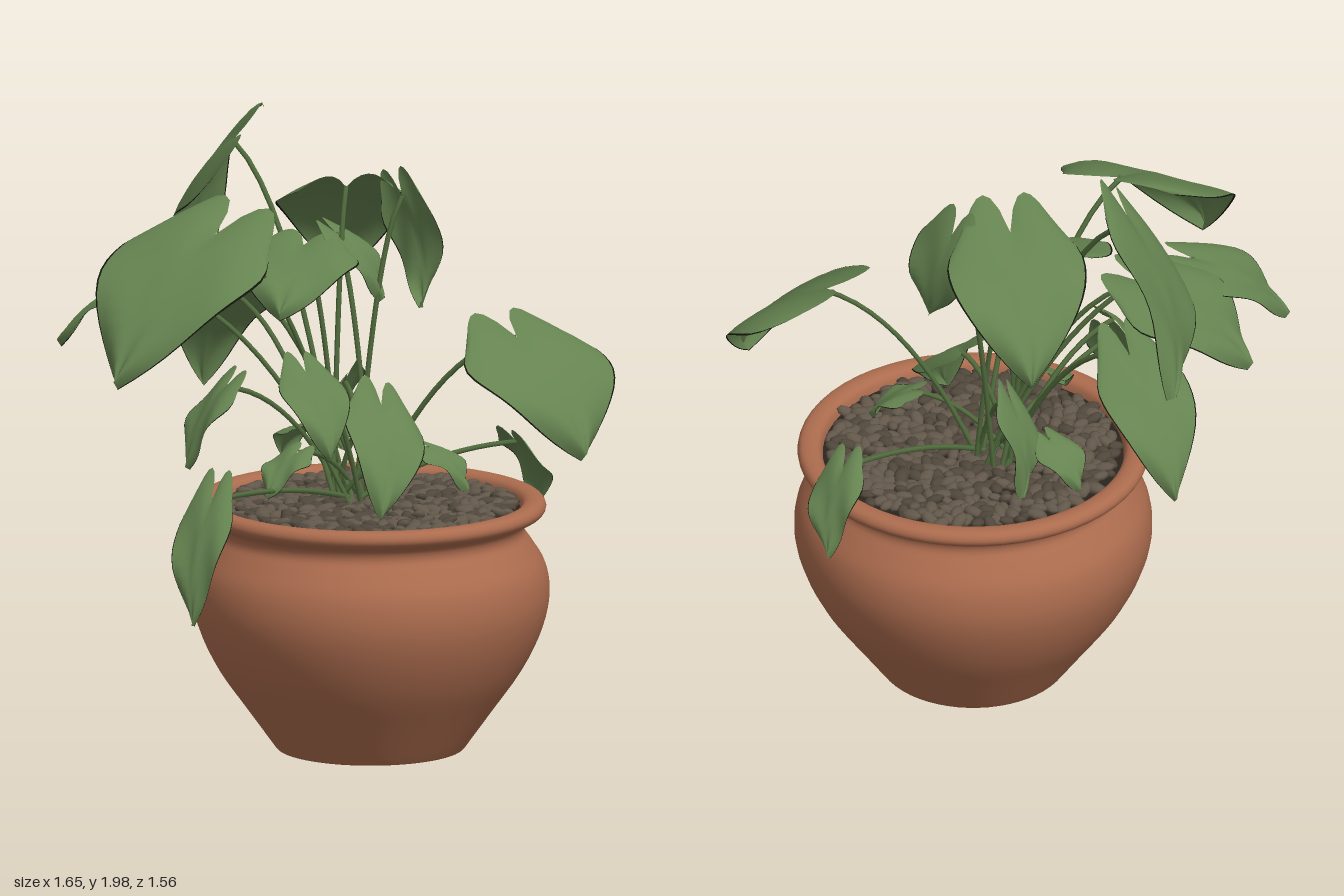
import * as THREE from 'three';
import { mergeGeometries } from 'three/addons/utils/BufferGeometryUtils.js';

const mat = (name, color, side = THREE.FrontSide) => {
  const m = new THREE.MeshStandardMaterial({ color, side });
  m.name = name;
  return m;
};

// Small seeded random generator
function makeRandom(seed) {
  return () => {
    seed = (seed * 16807) % 2147483647;
    return seed / 2147483647;
  };
}

// Heart-shaped leaf: notch at base, pointed tip, arched along its length, folded along the midrib
function leafGeometry(base, tip, width, roll) {
  const dir = tip.clone().sub(base);
  const len = dir.length();
  dir.normalize();
  const side = new THREE.Vector3(-dir.z, 0, dir.x).normalize().applyAxisAngle(dir, roll);
  const up = new THREE.Vector3().crossVectors(side, dir);
  const rows = 14, cols = 16;
  const g = new THREE.PlaneGeometry(1, 1, cols, rows);
  const pos = g.attributes.position;
  for (let i = 0; i < pos.count; i++) {
    const flat = pos.getX(i) * 2, t = pos.getY(i) + 0.5;
    // The outermost columns become the narrow margin
    const s = Math.abs(flat) > 0.99 ? flat : flat * 1.115;
    const a = Math.abs(s);
    const half = (width / 2) * (t < 0.25
      ? 0.72 + 0.28 * Math.sin(t * 2 * Math.PI)
      : Math.pow(Math.max(0, Math.cos(((t - 0.25) / 0.75) * Math.PI / 2)), 0.95));
    const lobe = 0.27 * (1 - t) ** 2 * Math.sin(Math.PI * a ** 0.8);
    const lift = len * (0.48 * t * (1 - t) - 0.3 * lobe)
      + width * (0.09 * a - 0.13 * a * a) + 0.012 * Math.sin(t * 9 + s * 3) * a;
    const p = base.clone().addScaledVector(dir, (t - lobe) * len)
      .addScaledVector(side, s * half).addScaledVector(up, lift);
    pos.setXYZ(i, p.x, p.y, p.z);
  }
  for (let r = 0; r < rows; r++) {
    const start = r * cols * 6;
    g.addGroup(start, 6, 1);
    g.addGroup(start + 6, (cols - 2) * 6, 0);
    g.addGroup(start + (cols - 1) * 6, 6, 1);
  }
  g.computeVertexNormals();
  return g;
}

// Main leaves: base x y z, tip x y z, width, optional roll about the midrib
const LEAVES = [
  [-0.2, 1.85, -0.33, -0.16, 1.47, -0.77, 0.44, -0.92],
  [-0.39, 1.67, 0.21, -0.78, 1.26, 0.47, 0.56, -0.12],
  [0.53, 1.34, 0.44, 0.68, 1.01, 0.73, 0.55],
  [0.1, 1.74, -0.06, 0.18, 1.4, -0.43, 0.44],
  [-0.31, 1.51, -0.15, -0.58, 1.28, -0.4, 0.45],
  [-0.54, 1.47, -0.03, -0.81, 1.27, -0.15, 0.3],
  [-0.06, 1.58, 0.03, -0.2, 1.41, 0.28, 0.4],
  [0.06, 1.6, -0.03, 0.19, 1.4, 0.06, 0.24],
  [-0.2, 1.36, -0.32, -0.22, 1.01, -0.65, 0.3],
  [0.26, 1.72, 0.03, 0.3, 1.38, 0.12, 0.22, -1.74],
  [-0.15, 1.26, 0.42, -0.12, 1.02, 0.63, 0.22],
  [0.13, 1.11, 0.28, 0.06, 0.81, 0.57, 0.27, -0.4],
  [-0.48, 0.88, 0.52, -0.56, 0.5, 0.6, 0.19],
  [0.62, 0.92, 0.06, 0.72, 0.68, -0.06, 0.19, 0.4],
  [-0.35, 1.17, 0.18, -0.48, 0.92, 0.2, 0.2],
  [0.1, 1.11, -0.07, 0.13, 0.86, -0.23, 0.24, -0.94],
];

export function createModel() {
  const model = new THREE.Group();
  model.name = 'pottedPlant';
  const terracotta = mat('terracotta', 0xac6c4e);
  const leafGreen = mat('leafGreen', 0x658350, THREE.DoubleSide);
  const leafMargin = mat('leafMargin', 0x11140c, THREE.DoubleSide);
  const stemGreen = mat('stemGreen', 0x506a3c);
  const soilBrown = mat('soilBrown', 0x2a241d);
  const stones = [mat('stoneBrown', 0x62574a), mat('stoneDark', 0x50473b)];
  const rand = makeRandom(4217);
  const add = (parent, name, geo, m) => {
    const mesh = new THREE.Mesh(geo, m);
    mesh.name = name;
    parent.add(mesh);
    return mesh;
  };

  // Pot, with a flared rolled rim
  const pot = new THREE.Group();
  pot.name = 'pot';
  pot.position.set(0.11, 0, 0.22);
  model.add(pot);
  const curve = new THREE.SplineCurve([
    [0.3, 0.005], [0.39, 0.13], [0.475, 0.25], [0.535, 0.37], [0.563, 0.48], [0.553, 0.58],
    [0.51, 0.655], [0.485, 0.695], [0.495, 0.73], [0.54, 0.752], [0.553, 0.775],
    [0.54, 0.797], [0.505, 0.8], [0.48, 0.785], [0.47, 0.74],
  ].map((p) => new THREE.Vector2(...p)));
  const profile = [new THREE.Vector2(0, 0), new THREE.Vector2(0.295, 0), ...curve.getPoints(48)];
  add(pot, 'potBody', new THREE.LatheGeometry(profile, 56), terracotta);

  // Soil disc under the stones
  const soil = add(pot, 'soil', new THREE.CircleGeometry(0.48, 40), soilBrown);
  soil.rotation.x = -Math.PI / 2;
  soil.position.y = 0.762;

  // Stones spread in a spiral over the soil
  const batches = [[], []];
  const count = 470;
  for (let i = 0; i < count; i++) {
    const r = 0.455 * Math.sqrt((i + 0.5) / count), a = i * 2.39996;
    const size = 0.8 + rand() * 0.4;
    const matrix = new THREE.Matrix4().compose(
      new THREE.Vector3(r * Math.cos(a), 0.77 + rand() * 0.014, r * Math.sin(a)),
      new THREE.Quaternion().setFromEuler(new THREE.Euler((rand() - 0.5) * 0.8, rand() * 6.28, (rand() - 0.5) * 0.8)),
      new THREE.Vector3(0.034, 0.015, 0.021).multiplyScalar(size));
    batches[rand() < 0.6 ? 0 : 1].push(new THREE.SphereGeometry(1, 8, 5).applyMatrix4(matrix));
  }
  batches.forEach((b, i) => add(pot, 'stones' + (i + 1), mergeGeometries(b), stones[i]));

  // Each leaf sits on an arching stem from the middle of the pot
  const foliage = new THREE.Group();
  foliage.name = 'foliage';
  model.add(foliage);
  const addLeaf = (name, base, tip, width, roll = 0) => {
    const leaf = new THREE.Group();
    leaf.name = name;
    foliage.add(leaf);
    add(leaf, 'blade', leafGeometry(base, tip, width, roll), [leafGreen, leafMargin]);
    const a = foliage.children.length * 2.4;
    const root = new THREE.Vector3(0.07 + 0.06 * Math.cos(a), 0.76, 0.14 + 0.06 * Math.sin(a));
    const mid = root.clone().lerp(base, 0.45);
    mid.y = 0.79 + (base.y - 0.76) * 0.85;
    const path = new THREE.QuadraticBezierCurve3(root, mid, base);
    add(leaf, 'stem', new THREE.TubeGeometry(path, 14, 0.0085, 6), stemGreen);
  };
  LEAVES.forEach((row, i) => {
    const [width, roll] = row.slice(6);
    addLeaf('leaf' + (i + 1), new THREE.Vector3(...row.slice(0, 3)), new THREE.Vector3(...row.slice(3, 6)), width, roll);
  });

  // Young leaves in a low ring around the stems
  for (let i = 0; i < 3; i++) {
    const a = 0.76 + i * 1.8;
    const at = (r, y) => new THREE.Vector3(0.08 + r * Math.cos(a), y, 0.14 + r * Math.sin(a));
    addLeaf('youngLeaf' + (i + 1), at(0.27, 0.97), at(0.41, 0.85), 0.16);
  }
  return model;
}
